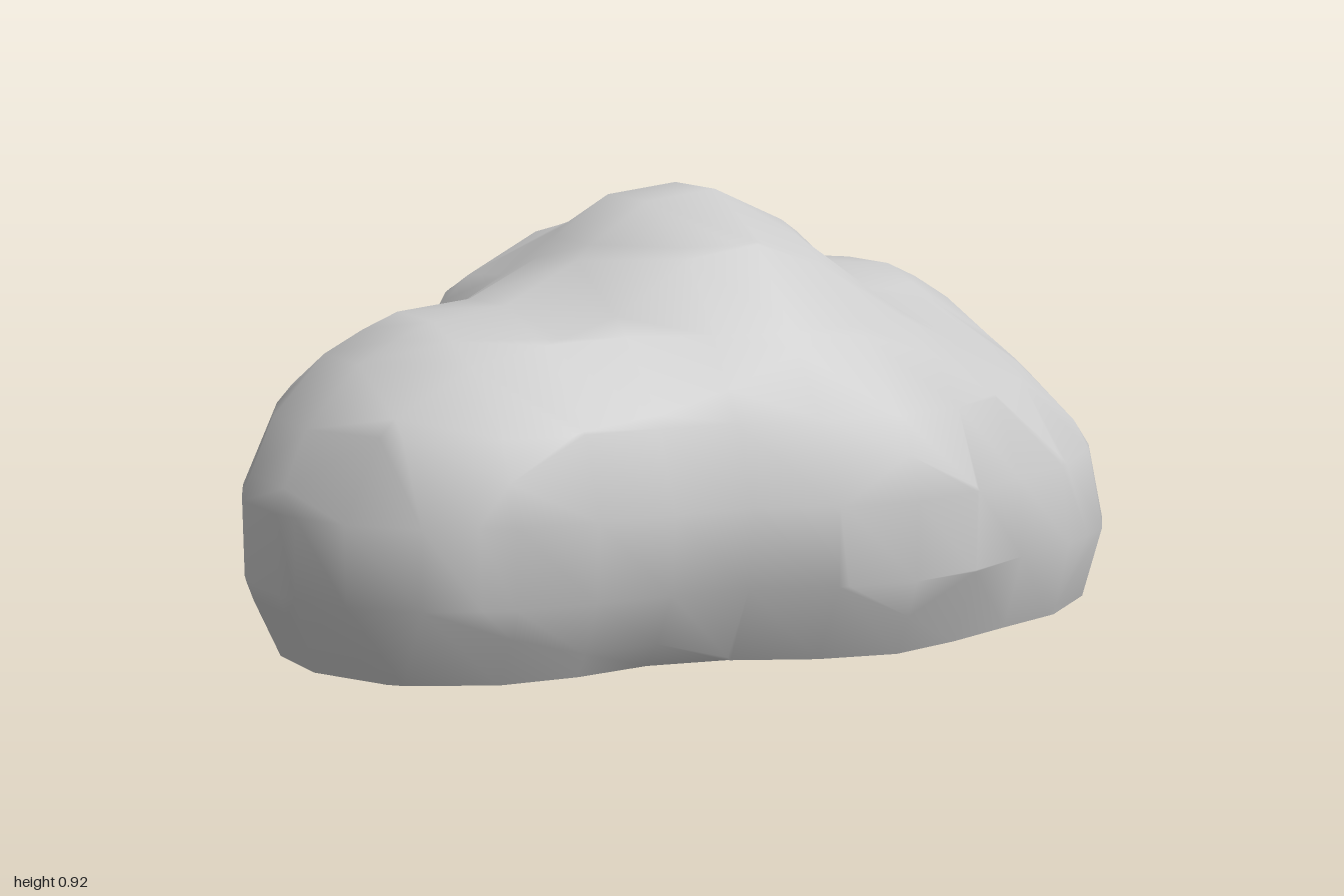
import * as THREE from 'three';

// Overlapping lobes of the puffy shell: [x, y, z, radius]
const LOBES = [
  [-0.05, 0.2, 0.05, 0.36],  // core
  [-0.55, 0.25, 0.08, 0.45], // right side
  [0.54, 0.25, -0.24, 0.46], // left back
  [0.18, 0.25, 0.24, 0.45],  // front
  [0.59, 0.17, 0.18, 0.35],  // left front
  [-0.3, 0.3, 0.23, 0.3],    // right front filler
  [-0.04, 0.6, 0.08, 0.33],  // crown
  [-0.12, 0.5, -0.33, 0.28], // overhanging back
];
const BLEND = 0.2;
const CELL = 0.163;
const START = [0.01 - 7 * CELL, 0, -5 * CELL]; // lowest grid corner, on the ground
const COUNT = [14, 7, 10];                     // cells along x, y, z

// Signed distance to the softly blended lobes
function distance(p) {
  let d = Infinity;
  for (const [x, y, z, r] of LOBES) {
    const s = Math.hypot(p[0] - x, p[1] - y, p[2] - z) - r;
    const h = d === Infinity ? 0 : Math.max(BLEND - Math.abs(d - s), 0);
    d = Math.min(d, s) - h * h / (4 * BLEND);
  }
  return d;
}

// The four corners of each cube face, counter-clockwise seen from outside
const FACES = [];
for (let axis = 0; axis < 3; axis++) {
  for (const side of [0, 1]) {
    const face = [[0, 0], [1, 0], [1, 1], [0, 1]].map(([u, v]) => {
      const corner = [0, 0, 0];
      corner[axis] = side;
      corner[(axis + 1) % 3] = u;
      corner[(axis + 2) % 3] = v;
      return corner;
    });
    FACES.push(side ? face : face.reverse());
  }
}

// Coarse skin over the lobes, left open where the grid ends at the ground
function createShellGeometry() {
  const positions = [], index = [];
  const nodes = new Map(), crossings = new Map();

  const nodeAt = (cell, corner) => {
    const at = cell.map((c, a) => c + corner[a]);
    const key = at.join();
    if (!nodes.has(key)) {
      const p = at.map((c, a) => START[a] + c * CELL);
      nodes.set(key, { key, p, d: distance(p) });
    }
    return nodes.get(key);
  };

  // Vertex where the skin crosses a grid edge, shared by neighbouring cells
  const crossing = (inside, outside) => {
    const key = inside.key + '|' + outside.key;
    if (!crossings.has(key)) {
      const t = inside.d / (inside.d - outside.d);
      crossings.set(key, positions.length / 3);
      positions.push(...inside.p.map((v, a) => v + (outside.p[a] - v) * t));
    }
    return crossings.get(key);
  };

  const addCell = (cell) => {
    // Link the crossings of every face into directed segments
    const next = new Map();
    for (const face of FACES) {
      const n = face.map((corner) => nodeAt(cell, corner));
      for (let i = 0; i < 4; i++) {
        if (n[i].d >= 0 || n[(i + 1) % 4].d < 0) continue;
        let j = (i + 1) % 4;
        while (n[(j + 1) % 4].d >= 0) j = (j + 1) % 4;
        next.set(crossing(n[(j + 1) % 4], n[j]), crossing(n[i], n[(i + 1) % 4]));
      }
    }
    // Follow the segments round each loop and fill it with a fan
    while (next.size) {
      const loop = [];
      let v = next.keys().next().value;
      while (next.has(v)) {
        loop.push(v);
        const following = next.get(v);
        next.delete(v);
        v = following;
      }
      for (let i = 1; i < loop.length - 1; i++) index.push(loop[0], loop[i], loop[i + 1]);
    }
  };

  for (let i = 0; i < COUNT[0]; i++) {
    for (let j = 0; j < COUNT[1]; j++) {
      for (let k = 0; k < COUNT[2]; k++) addCell([i, j, k]);
    }
  }
  const geometry = new THREE.BufferGeometry();
  geometry.setAttribute('position', new THREE.Float32BufferAttribute(positions, 3));
  geometry.setIndex(index);
  geometry.computeVertexNormals();
  return geometry;
}

export function createModel() {
  const group = new THREE.Group();
  group.name = 'puffyMound';
  const material = new THREE.MeshStandardMaterial({ color: 0xcccccc, side: THREE.DoubleSide });
  const shell = new THREE.Mesh(createShellGeometry(), material);
  shell.name = 'lobedShell';
  group.add(shell);
  return group;
}
